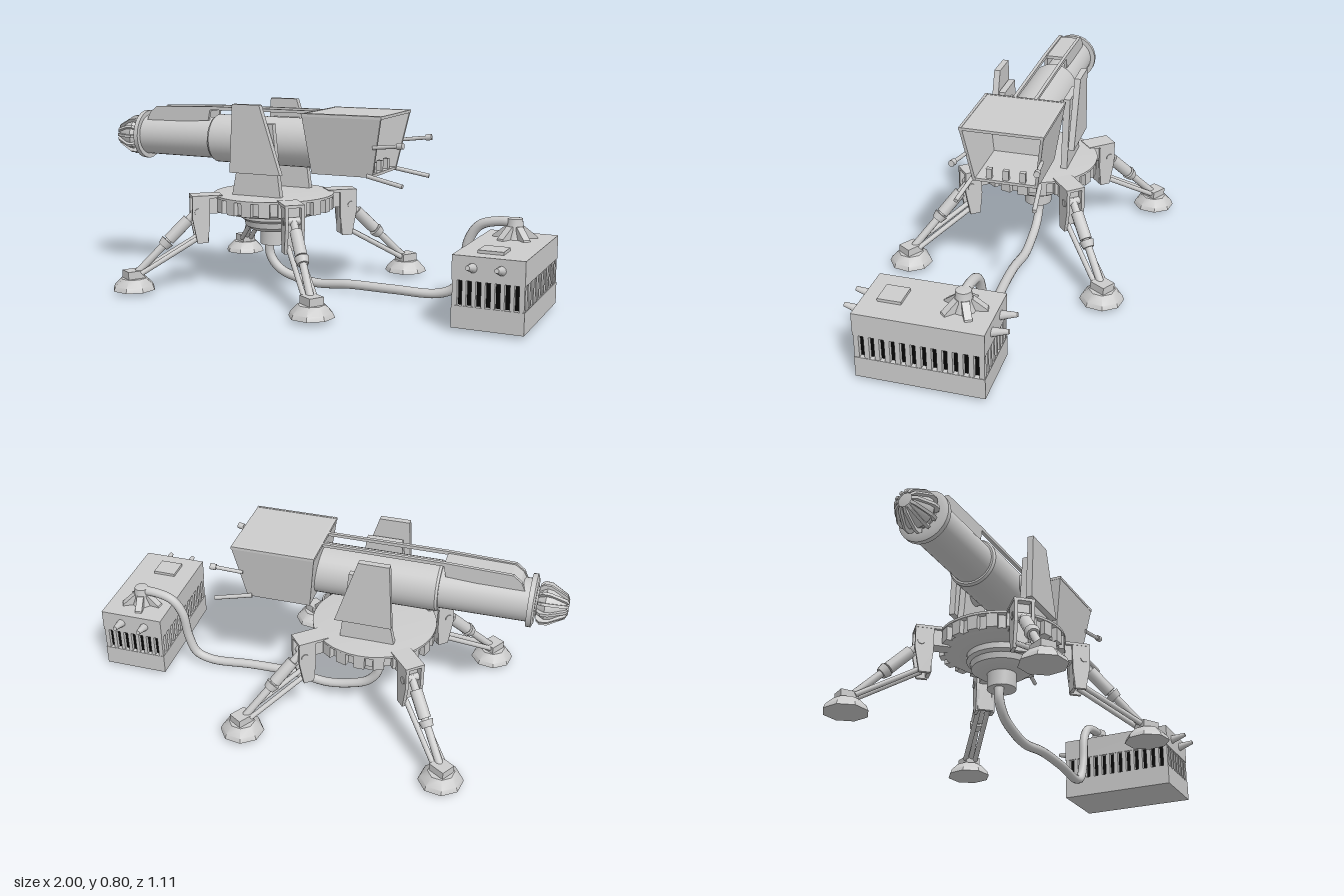
import * as THREE from 'three';
import { toCreasedNormals } from 'three/addons/utils/BufferGeometryUtils.js';

const grey = new THREE.MeshStandardMaterial({ color: 0xcccccc, side: THREE.DoubleSide });
const dark = new THREE.MeshStandardMaterial({ color: 0x060606 });
const V = (x, y, z) => new THREE.Vector3(x, y, z);

function add(parent, name, geo, pos = [0, 0, 0], mat = grey) {
  const m = new THREE.Mesh(geo, mat);
  m.name = name;
  m.position.set(...pos);
  parent.add(m);
  return m;
}
function group(parent, name, pos = [0, 0, 0]) {
  const g = new THREE.Group();
  g.name = name;
  g.position.set(...pos);
  parent.add(g);
  return g;
}
const box = (p, name, size, pos, mat) => add(p, name, new THREE.BoxGeometry(...size), pos, mat);

// Round bar between two points
function beam(parent, name, a, b, r1, r2 = r1, sides = 12) {
  const m = add(parent, name, new THREE.CylinderGeometry(r2, r1, a.distanceTo(b), sides));
  m.position.copy(a).lerp(b, 0.5);
  m.quaternion.setFromUnitVectors(V(0, 1, 0), b.clone().sub(a).normalize());
  return m;
}
// Profile in x/y, given thickness in z, centred on z
function plate(parent, name, pts, depth, z = 0) {
  const shape = new THREE.Shape(pts.map(p => new THREE.Vector2(...p)));
  const g = new THREE.ExtrudeGeometry(shape, { depth, bevelEnabled: false });
  return add(parent, name, g, [0, 0, z - depth / 2]);
}
function turned(parent, name, pts, sides, pos = [0, 0, 0]) {
  const g = new THREE.LatheGeometry(pts.map(p => new THREE.Vector2(...p)), sides);
  return add(parent, name, toCreasedNormals(g, 0.6), pos);
}
// Quad panel thickened along its normal
function slab(parent, name, q, t) {
  const n = q[1].clone().sub(q[0]).cross(q[3].clone().sub(q[0])).normalize().multiplyScalar(t);
  const c = [...q, ...q.map(p => p.clone().add(n))];
  const faces = [[3, 2, 1, 0], [4, 5, 6, 7], [0, 1, 5, 4], [1, 2, 6, 5], [2, 3, 7, 6], [3, 0, 4, 7]];
  const pts = faces.flatMap(([i, j, k, l]) => [c[i], c[j], c[k], c[i], c[k], c[l]]);
  const g = new THREE.BufferGeometry().setFromPoints(pts);
  g.computeVertexNormals();
  return add(parent, name, g);
}

function buildBase(root) {
  const base = group(root, 'turntable', [-0.215, 0, 0]);
  turned(base, 'deck', [[0, 0.413], [0.2, 0.411], [0.262, 0.405], [0.262, 0.395], [0, 0.395]], 40);
  turned(base, 'gearRing', [[0, 0.4], [0.238, 0.4], [0.238, 0.34], [0.21, 0.325], [0, 0.325]], 40);
  const teeth = 20;
  for (let i = 0; i < teeth; i++) {
    const a = (i / teeth) * Math.PI * 2;
    const t = box(base, 'ringTooth', [0.03, 0.062, 0.045], [0.243 * Math.cos(a), 0.368, -0.243 * Math.sin(a)]);
    t.rotation.y = a;
  }
  turned(base, 'lowerHousing', [[0, 0.33], [0.145, 0.33], [0.145, 0.3], [0.13, 0.29], [0.125, 0.265],
    [0.1, 0.248], [0.06, 0.245], [0.06, 0.18], [0, 0.18]], 28);

  // Four identical legs round the turntable
  for (let i = 0; i < 4; i++) {
    const leg = group(base, 'leg');
    leg.rotation.y = THREE.MathUtils.degToRad(40.7) + i * Math.PI / 2;
    box(leg, 'legArm', [0.12, 0.07, 0.06], [0.275, 0.365, 0]);
    box(leg, 'armCap', [0.13, 0.012, 0.085], [0.3, 0.404, 0]);
    for (const s of [-1, 1])
      plate(leg, 'bracketCheek', [[0.29, 0.41], [0.365, 0.41], [0.365, 0.31], [0.345, 0.205],
        [0.3, 0.205], [0.29, 0.3]], 0.014, s * 0.034);
    box(leg, 'bracketBack', [0.015, 0.19, 0.066], [0.302, 0.305, 0]);
    beam(leg, 'hingePin', V(0.34, 0.34, -0.045), V(0.34, 0.34, 0.045), 0.016);
    const top = V(0.335, 0.345, 0), ankle = V(0.6, 0.085, 0);
    beam(leg, 'mainStrut', top, ankle, 0.016);
    beam(leg, 'strutSleeve', top.clone().lerp(ankle, 0.16), top.clone().lerp(ankle, 0.48), 0.026);
    beam(leg, 'strutCollar', top.clone().lerp(ankle, 0.5), top.clone().lerp(ankle, 0.58), 0.031, 0.024);
    for (const s of [-1, 1])
      beam(leg, 'braceStrut', V(0.33, 0.23, s * 0.02), V(0.585, 0.085, s * 0.022), 0.011);
    // Foot pad
    const foot = group(leg, 'foot', [0.615, 0, 0]);
    foot.rotation.y = 0.3;
    turned(foot, 'footPad', [[0, 0.065], [0.055, 0.065], [0.085, 0.035], [0.093, 0.016], [0, 0.016]], 8);
    box(foot, 'ankleBlock', [0.075, 0.035, 0.065], [0, 0.08, 0]);
  }
}

function buildGun(root) {
  const gun = group(root, 'cannon');
  // Barrel, turned about x; the profile height runs toward the muzzle
  const barrel = turned(gun, 'barrel', [[0, -0.03], [0.105, -0.03], [0.105, 0.48], [0.098, 0.49], [0.09, 0.49],
    [0.088, 0.845], [0.108, 0.845], [0.108, 0.865], [0.09, 0.872], [0.06, 0.872], [0.04, 0.89], [0, 0.89]], 32, [0, 0.63, 0]);
  barrel.rotation.z = Math.PI / 2;
  const muzzle = group(gun, 'muzzle', [0, 0.625, 0]);
  muzzle.rotation.z = Math.PI / 2;
  turned(muzzle, 'muzzleCore', [[0.045, 0.86], [0.06, 0.885], [0.075, 0.91], [0.07, 0.935], [0.035, 0.99], [0, 0.995]], 16);
  for (let i = 0; i < 12; i++) {
    const rib = plate(muzzle, 'muzzleRib', [[0.03, 0.875], [0.075, 0.88], [0.088, 0.895], [0.086, 0.925],
      [0.05, 0.99], [0.03, 1.0]], 0.012);
    rib.position.set(0, 0, 0);
    rib.geometry.translate(0, 0, -0.006);
    rib.rotation.y = i * Math.PI / 6;
  }
  // Top rails with a hooded front
  for (const s of [-1, 1])
    plate(gun, 'railCheek', [[-0.83, 0.69], [-0.81, 0.735], [-0.775, 0.763], [-0.5, 0.772], [0.02, 0.772],
      [0.02, 0.76], [-0.5, 0.757], [-0.51, 0.71]], 0.014, s * 0.045);
  plate(gun, 'railHood', [[-0.825, 0.7], [-0.805, 0.735], [-0.77, 0.758], [-0.5, 0.764], [-0.5, 0.75],
    [-0.77, 0.745], [-0.79, 0.725], [-0.81, 0.7]], 0.09);

  // Side supports
  for (const s of [-1, 1]) {
    plate(gun, 'supportFoot', [[-0.335, 0.405], [-0.105, 0.405], [-0.12, 0.53], [-0.14, 0.72],
      [-0.29, 0.72], [-0.31, 0.53]], 0.028, s * 0.143);
    plate(gun, 'supportFin', [[-0.328, 0.51], [-0.09, 0.51], [-0.185, 0.8], [-0.312, 0.8]], 0.026, s * 0.177);
    beam(gun, 'trunnion', V(-0.225, 0.63, s * 0.08), V(-0.225, 0.63, s * 0.165), 0.045, 0.04, 20);
  }
}

function buildCabin(root) {
  const cabin = group(root, 'cabin');
  const c = (end, top, s) => V(end ? (top ? 0.35 : 0.3) : (top ? 0 : 0.03), top ? 0.772 : 0.52, s * (top ? 0.172 : 0.135));
  const t = 0.012;
  slab(cabin, 'roof', [c(0, 1, -1), c(1, 1, -1), c(1, 1, 1), c(0, 1, 1)], t);
  slab(cabin, 'floor', [c(0, 0, 1), c(1, 0, 1), c(1, 0, -1), c(0, 0, -1)], t);
  slab(cabin, 'leftWall', [c(0, 1, 1), c(1, 1, 1), c(1, 0, 1), c(0, 0, 1)], t);
  slab(cabin, 'rightWall', [c(0, 0, -1), c(1, 0, -1), c(1, 1, -1), c(0, 1, -1)], t);
  slab(cabin, 'frontWall', [c(0, 0, 1), c(0, 0, -1), c(0, 1, -1), c(0, 1, 1)], t);
  // Controls inside and grab handles behind
  for (const z of [-0.07, 0, 0.07]) box(cabin, 'pedal', [0.02, 0.045, 0.024], [0.28, 0.552, z]);
  for (const s of [-1, 1]) {
    beam(cabin, 'upperHandle', V(0.31, 0.645, s * 0.155), V(0.44, 0.66, s * 0.17), 0.008);
    beam(cabin, 'upperGrip', V(0.42, 0.658, s * 0.168), V(0.445, 0.661, s * 0.171), 0.013);
    beam(cabin, 'lowerHandle', V(0.28, 0.527, s * 0.14), V(0.44, 0.497, s * 0.16), 0.009);
  }
}

function buildPowerUnit(root) {
  const unit = group(root, 'powerUnit', [0.86, 0, 0.122]);
  box(unit, 'lowerCase', [0.28, 0.087, 0.51], [0, 0.0585, 0]);
  box(unit, 'upperCase', [0.28, 0.095, 0.51], [0, 0.2475, 0]);
  box(unit, 'ventCore', [0.24, 0.1, 0.47], [0, 0.15, 0], dark);
  // Vent bars between the black slots
  for (const s of [-1, 1]) {
    for (let i = 0; i <= 12; i++)
      box(unit, 'sideVentBar', [0.02, 0.1, 0.02], [s * 0.128, 0.15, -0.243 + i * 0.0405]);
    for (let i = 0; i <= 7; i++)
      box(unit, 'endVentBar', [0.016, 0.1, 0.02], [-0.128 + i * 0.0366, 0.15, s * 0.243]);
    for (const x of [-0.06, 0.05])
      beam(unit, 'terminal', V(x, 0.25, s * 0.25), V(x, 0.265, s * 0.32), 0.019, 0.009);
  }
  box(unit, 'hatch', [0.1, 0.014, 0.095], [-0.01, 0.3, 0.145]);
  // Finned hose socket
  const socket = group(unit, 'hoseSocket', [-0.005, 0, -0.132]);
  turned(socket, 'socketPost', [[0.05, 0.29], [0.035, 0.33], [0.03, 0.375], [0, 0.38]], 16);
  for (let i = 0; i < 5; i++) {
    const fin = plate(socket, 'socketFin', [[0, 0.295], [0.09, 0.295], [0.088, 0.302], [0.035, 0.345], [0, 0.345]], 0.03);
    fin.position.z = 0;
    fin.geometry.translate(0, 0, -0.015);
    fin.rotation.y = 0.5 + i * Math.PI * 0.4;
  }
}

export function createModel() {
  const root = new THREE.Group();
  root.name = 'fieldCannon';
  buildBase(root);
  buildGun(root);
  buildCabin(root);
  buildPowerUnit(root);
  // Power hose from the turntable to the power unit
  const path = new THREE.CatmullRomCurve3([V(-0.235, 0.21, 0), V(-0.235, 0.13, 0), V(-0.19, 0.07, 0), V(-0.1, 0.035, 0),
    V(0, 0.021, 0), V(0.15, 0.034, 0.01), V(0.35, 0.034, 0.01), V(0.54, 0.034, -0.005), V(0.61, 0.065, -0.01), V(0.645, 0.15, -0.01),
    V(0.665, 0.27, -0.012), V(0.71, 0.335, -0.012), V(0.79, 0.358, -0.01), V(0.86, 0.358, -0.01)]);
  add(root, 'powerHose', new THREE.TubeGeometry(path, 90, 0.02, 12));
  return root;
}
